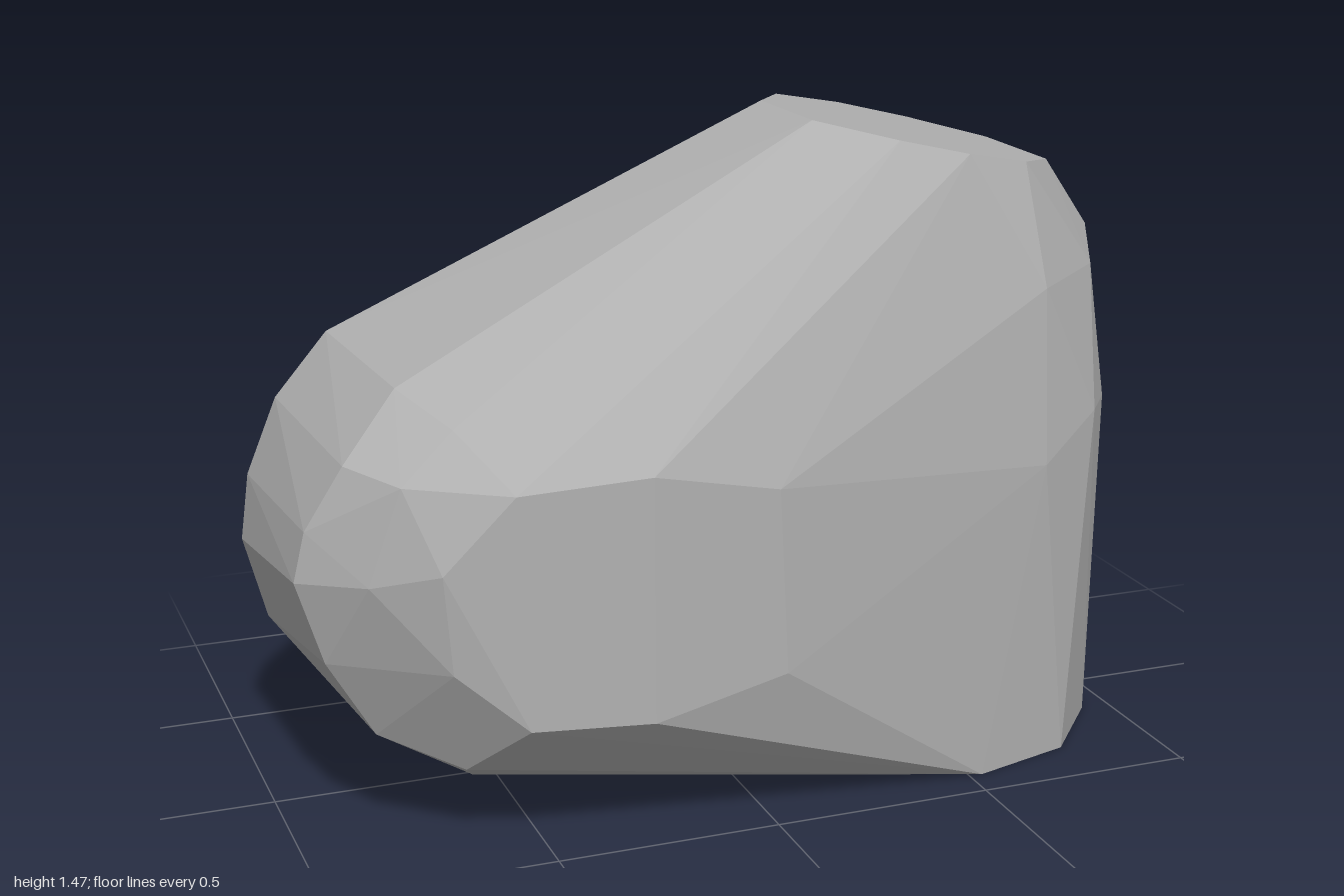
import * as THREE from 'three';
import { ConvexGeometry } from 'three/addons/geometries/ConvexGeometry.js';

export function createModel() {
  const stoneGrey = new THREE.MeshStandardMaterial({ color: 0xb0b0b0 });
  const points = [];
  const add = (...rows) => rows.forEach(([x, y, z]) => points.push(new THREE.Vector3(x, y, z)));

  // flat, slightly tilted cap
  const cap = [[0.2, -0.13], [0.34, -0.38], [0.53, -0.45], [0.68, -0.38], [0.81, -0.21],
    [0.81, 0.09], [0.68, 0.24], [0.52, 0.285], [0.37, 0.25], [0.215, 0.13]];
  cap.forEach(([x, z]) => add([x, 1.47 - (x - 0.2) * 0.22, z]));

  // shoulder of the tall end
  add([0.69, 1.1, 0.34], [0.88, 1.11, 0.19], [0.94, 1.17, 0.05], [0.945, 1.1, -0.21],
    [0.86, 1.23, -0.345], [0.82, 1.13, -0.4], [0.55, 1.12, -0.52]);

  // waist of the tall end
  add([0.68, 0.71, 0.39], [0.84, 0.8, 0.31], [0.95, 0.78, 0.15], [0.995, 0.82, 0],
    [0.985, 0.69, -0.16], [0.94, 0.81, -0.31], [0.84, 0.78, -0.44], [0.73, 0.69, -0.5], [0.47, 0.8, -0.555]);

  // flat foot
  const foot = [[0.53, 0.42], [0.77, 0.35], [0.93, 0.16], [1, -0.03], [0.98, -0.23],
    [0.88, -0.38], [0.75, -0.49], [0.6, -0.55], [0.45, -0.555]];
  foot.forEach(([x, z]) => add([x, 0, z]));

  // bulging front side
  add([-0.58, 0.82, 0.515], [-0.3, 0.84, 0.55], [-0.02, 0.78, 0.54],
    [-0.56, 0.31, 0.52], [-0.3, 0.305, 0.555], [0, 0.37, 0.543]);

  // back edge of the rounded low end
  const backEdge = [[-0.79, 1], [-0.91, 0.86], [-0.98, 0.69], [-1, 0.54], [-0.95, 0.35], [-0.8, 0.16]];
  backEdge.forEach(([x, y]) => add([x, y, -0.235]));
  add([-0.62, 0.06, -0.18], [-0.58, 0.05, 0.12]);

  // front edge of the rounded low end
  add([-0.75, 0.985, 0.22], [-0.67, 0.93, 0.375], [-0.88, 0.85, 0.285], [-0.79, 0.83, 0.41],
    [-0.96, 0.71, 0.26], [-0.985, 0.6, 0.255], [-0.86, 0.62, 0.395], [-0.73, 0.66, 0.49],
    [-0.71, 0.44, 0.48], [-0.93, 0.42, 0.27], [-0.83, 0.25, 0.28], [-0.66, 0.18, 0.37]);

  const boulder = new THREE.Mesh(new ConvexGeometry(points), stoneGrey);
  boulder.name = 'boulder';
  const group = new THREE.Group();
  group.name = 'rock';
  group.add(boulder);
  return group;
}
